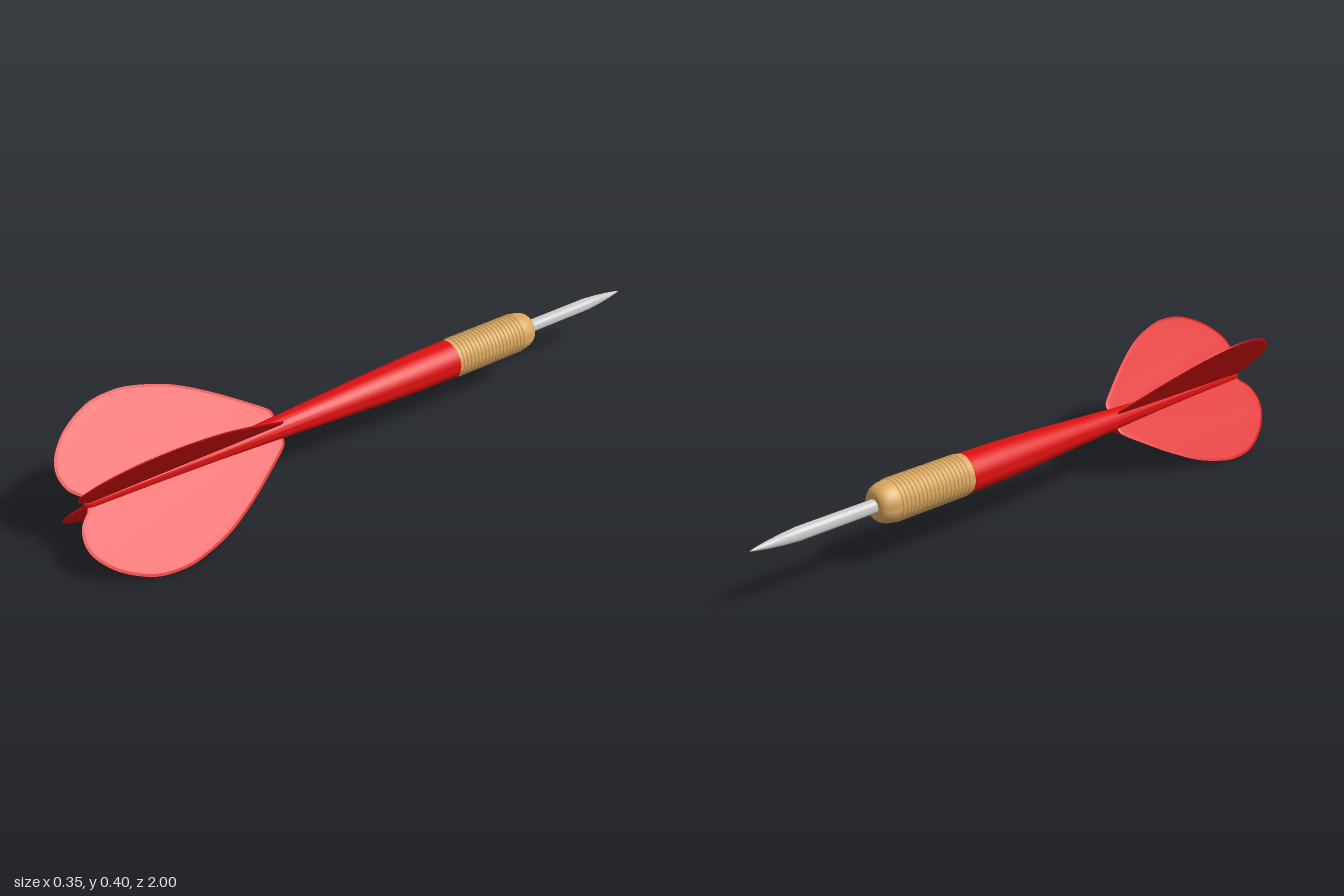
import * as THREE from 'three';
import { toCreasedNormals } from 'three/addons/utils/BufferGeometryUtils.js';

const red = new THREE.MeshStandardMaterial({ color: 0xdd1010 });
const brass = new THREE.MeshStandardMaterial({ color: 0xd9a75f });
const steel = new THREE.MeshStandardMaterial({ color: 0xcccccc });

// Turned part along z, from [z, radius] pairs with z increasing
function turned(name, profile, material, crease = 0.6) {
  const pts = profile.map(([z, r]) => new THREE.Vector2(r, z));
  const geo = new THREE.LatheGeometry(pts, 40).rotateX(Math.PI / 2);
  const mesh = new THREE.Mesh(toCreasedNormals(geo, crease), material);
  mesh.name = name;
  return mesh;
}

export function createModel() {
  const dart = new THREE.Group();
  dart.name = 'dart';

  // Pointed needle
  dart.add(turned('needle', [
    [-1, 0], [-0.985, 0.004], [-0.95, 0.01], [-0.9, 0.016], [-0.85, 0.02], [-0.58, 0.02],
  ], steel));

  // Barrel: rounded nose, then fine grip ridges
  const nose = [[-0.6, 0], [-0.6, 0.032]];
  for (let i = 1; i <= 6; i++) {
    const a = (i / 6) * Math.PI / 2;
    nose.push([-0.55 - 0.05 * Math.cos(a), 0.032 + 0.029 * Math.sin(a)]);
  }
  const grip = [];
  const ridges = 18, pitch = 0.255 / ridges;
  for (let i = 0; i < ridges; i++) {
    const z = -0.545 + i * pitch;
    grip.push([z, 0.061], [z + pitch * 0.2, 0.064], [z + pitch * 0.65, 0.064], [z + pitch * 0.85, 0.061]);
  }
  const barrel = turned('barrel', [...nose, ...grip, [-0.278, 0.061], [-0.278, 0]], brass);
  barrel.scale.x = 0.96;
  dart.add(barrel);

  // Tapered shaft with a rounded tail
  dart.add(turned('shaft', [
    [-0.28, 0], [-0.28, 0.0605], [-0.15, 0.059], [0, 0.053], [0.15, 0.045], [0.35, 0.034],
    [0.55, 0.025], [0.75, 0.019], [0.94, 0.015], [0.955, 0.012], [0.962, 0.006], [0.964, 0],
  ], red));

  // Fin outline as (radius, z), thinned toward its rim
  const shape = new THREE.Shape();
  shape.moveTo(0, 0.345);
  shape.lineTo(0.045, 0.345);
  shape.splineThru([
    [0.062, 0.357], [0.1, 0.407], [0.165, 0.5], [0.222, 0.6], [0.255, 0.7], [0.264, 0.77],
    [0.253, 0.85], [0.21, 0.93], [0.155, 0.982], [0.105, 1], [0.055, 0.99], [0.022, 0.96],
  ].map(([r, z]) => new THREE.Vector2(r, z)));
  shape.lineTo(0, 0.95);
  const finGeo = new THREE.ExtrudeGeometry(shape, {
    depth: 0.002, bevelThickness: 0.002, bevelSize: 0.008, bevelOffset: -0.008,
    bevelSegments: 1, curveSegments: 40,
  }).translate(0, 0, -0.001).rotateX(Math.PI / 2);

  // Four fins in a slightly steep cross
  const tilt = Math.atan2(0.2, 0.172);
  const fins = new THREE.Group();
  fins.name = 'fins';
  for (const angle of [tilt, Math.PI - tilt, Math.PI + tilt, -tilt]) {
    const fin = new THREE.Mesh(finGeo, red);
    fin.name = 'fin';
    fin.rotation.z = angle;
    fins.add(fin);
  }
  dart.add(fins);

  dart.position.y = 0.202;
  const model = new THREE.Group();
  model.add(dart);
  return model;
}
